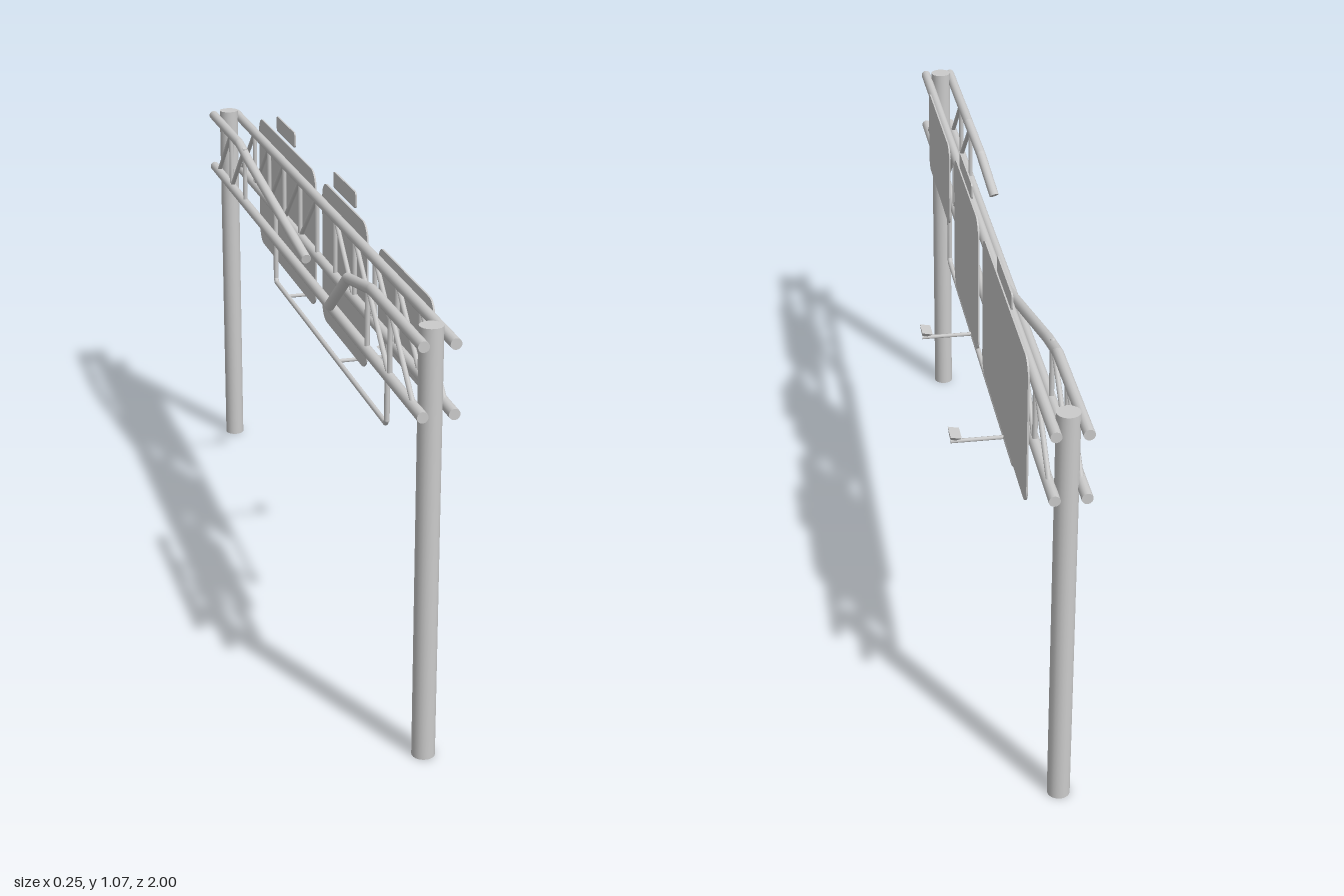
import * as THREE from 'three';

const material = new THREE.MeshStandardMaterial({ color: 0xcccccc });
const V = (x, y, z) => new THREE.Vector3(x, y, z);
const UP = V(0, 1, 0);

function add(parent, name, geometry) {
  const mesh = new THREE.Mesh(geometry, material);
  mesh.name = name;
  parent.add(mesh);
  return mesh;
}

// Straight round bar between two points
function bar(parent, name, a, b, radius, sides = 10) {
  const dir = b.clone().sub(a);
  const mesh = add(parent, name, new THREE.CylinderGeometry(radius, radius, dir.length(), sides));
  mesh.position.copy(a).add(b).multiplyScalar(0.5);
  mesh.quaternion.setFromUnitVectors(UP, dir.normalize());
  return mesh;
}

// Bent pipe: bars with round joints
function pipe(parent, name, points, radius, sides = 12) {
  const group = new THREE.Group();
  group.name = name;
  parent.add(group);
  for (let i = 1; i < points.length; i++) {
    bar(group, 'pipeSection', points[i - 1], points[i], radius, sides);
    if (i < points.length - 1) {
      add(group, 'pipeJoint', new THREE.SphereGeometry(radius, sides, 8)).position.copy(points[i]);
    }
  }
}

// Thin rounded panel facing +x
function panel(parent, name, z0, z1, y0, y1, r) {
  const w = (z1 - z0) / 2, h = (y1 - y0) / 2;
  const s = new THREE.Shape();
  s.moveTo(-w + r, -h);
  s.absarc(w - r, -h + r, r, -Math.PI / 2, 0);
  s.absarc(w - r, h - r, r, 0, Math.PI / 2);
  s.absarc(-w + r, h - r, r, Math.PI / 2, Math.PI);
  s.absarc(-w + r, -h + r, r, Math.PI, Math.PI * 1.5);
  const geo = new THREE.ExtrudeGeometry(s, { depth: 0.004, bevelEnabled: false, curveSegments: 6 });
  geo.rotateY(Math.PI / 2);
  add(parent, name, geo).position.set(0.001, (y0 + y1) / 2, (z0 + z1) / 2);
}

export function createModel() {
  const root = new THREE.Group();
  root.name = 'signGantry';

  const FRONT = -0.012, BACK = -0.08, TOP = 0.975, LOW = 0.823, CHORD = 0.0125;

  // Posts
  for (const z of [-0.945, 0.945]) {
    bar(root, 'post', V(-0.047, 0, z), V(-0.047, 1, z), 0.026, 20);
  }

  // Straight chords
  for (const [x, y] of [[FRONT, TOP], [FRONT, LOW], [BACK, LOW]]) {
    bar(root, 'chord', V(x, y, -1), V(x, y, 1), CHORD, 14);
  }

  // Broken upper back chord, two bent halves
  pipe(root, 'brokenChordLong', [
    V(BACK, TOP, -1), V(BACK, TOP, -0.66), V(-0.079, 0.952, -0.55), V(-0.055, 0.836, -0.03),
  ], CHORD, 14);
  pipe(root, 'brokenChordShort', [
    V(BACK, TOP, 1), V(BACK, TOP, 0.63), V(-0.089, 0.95, 0.47), V(-0.113, 0.862, 0.4),
  ], CHORD, 14);

  // Truss webs: verticals and diagonals, mirrored about the middle
  const step = 1.88 / 11;
  for (const x of [FRONT, BACK]) {
    for (const side of [-1, 1]) {
      const panels = x === FRONT ? 5 : 2;
      for (let i = 0; i < panels; i++) {
        const z0 = side * (0.94 - i * step), z1 = side * (0.94 - (i + 1) * step);
        bar(root, 'trussDiagonal', V(x, LOW, z0), V(x, TOP, z1), 0.006, 8);
        bar(root, 'trussVertical', V(x, LOW, z1), V(x, TOP, z1), 0.006, 8);
      }
    }
  }

  // Sign panels and the exit tabs above them
  panel(root, 'smallSign', 0.41, 0.81, 0.775, 1.0, 0.03);
  panel(root, 'middleSign', -0.085, 0.315, 0.66, 1.02, 0.04);
  panel(root, 'largeSign', -0.77, -0.155, 0.66, 1.02, 0.04);
  panel(root, 'signTab', 0.02, 0.215, 1.031, 1.071, 0.008);
  panel(root, 'signTab', -0.56, -0.365, 1.031, 1.071, 0.008);

  // Lamp rail hanging under the truss
  const rail = 0.612;
  pipe(root, 'lampRail', [
    V(FRONT, LOW, 0.53), V(FRONT, rail + 0.01, 0.53), V(FRONT, rail, 0.52),
    V(FRONT, rail, -0.52), V(FRONT, rail + 0.01, -0.53), V(FRONT, LOW, -0.53),
  ], 0.0065, 10);

  // Lamps on arms
  for (const z of [0.11, -0.4]) {
    bar(root, 'lampArm', V(FRONT, rail, z), V(0.118, rail, z), 0.005, 8);
    bar(root, 'lampStem', V(0.111, rail, z), V(0.111, 0.624, z), 0.004, 8);
    const geo = new THREE.BoxGeometry(0.027, 0.013, 0.05);
    const p = geo.attributes.position;
    for (let i = 0; i < p.count; i++) {
      if (p.getY(i) < 0) p.setXYZ(i, p.getX(i) * 0.5 + 0.003, p.getY(i), p.getZ(i) * 0.5);
    }
    geo.computeVertexNormals();
    const lamp = add(root, 'lampHead', geo);
    lamp.position.set(0.109, 0.628, z);
    lamp.rotation.z = 0.2;
  }

  return root;
}
